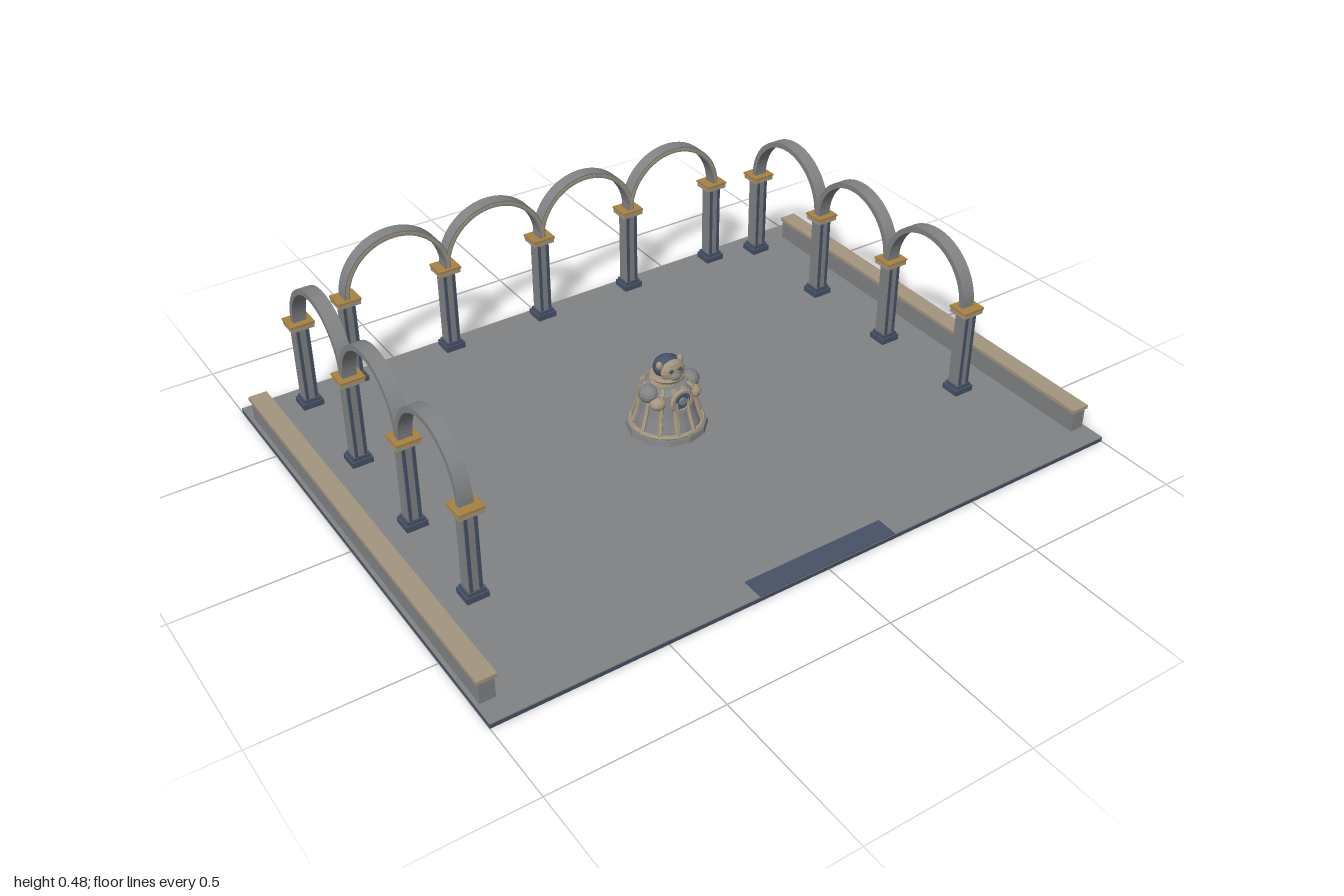
import * as THREE from 'three';

const mat = (name, color, side = THREE.FrontSide) => {
  const m = new THREE.MeshStandardMaterial({ color, side, flatShading: true });
  m.name = name;
  return m;
};

export function createModel() {
  const stone = mat('grey stone', 0x808284);
  const tan = mat('tan stone', 0xa3967e);
  const navy = mat('slate blue', 0x465266);
  const gold = mat('ochre', 0xa8823f);
  const blue = mat('blue', 0x3f5a80);

  const root = new THREE.Group();
  root.name = 'arcadeCourtyard';

  const add = (parent, name, geo, material, x = 0, y = 0, z = 0) => {
    const m = new THREE.Mesh(geo, material);
    m.name = name;
    m.position.set(x, y, z);
    parent.add(m);
    return m;
  };
  // box given by its size and the height of its underside
  const box = (parent, name, material, w, h, d, x, y, z) =>
    add(parent, name, new THREE.BoxGeometry(w, h, d), material, x, y + h / 2, z);

  // Floor slab
  box(root, 'slabEdge', navy, 2, 0.012, 1.514, 0, 0, 0);
  box(root, 'paving', stone, 2, 0.003, 1.514, 0, 0.012, 0);
  box(root, 'entranceStrip', navy, 0.445, 0.002, 0.067, 0, 0.015, 0.723);

  // Low side walls
  for (const s of [-1, 1]) {
    const wall = new THREE.Group();
    wall.name = s > 0 ? 'leftWall' : 'rightWall';
    box(wall, 'wallBody', stone, 0.044, 0.065, 1.376, s * 0.967, 0.015, 0);
    box(wall, 'wallCap', tan, 0.056, 0.011, 1.384, s * 0.967, 0.08, 0);
    root.add(wall);
  }

  // Pillar with base, shaft, narrow front strips and capital
  const pillar = (x, z) => {
    const g = new THREE.Group();
    g.name = 'pillar';
    g.position.set(x, 0, z);
    box(g, 'plinth', navy, 0.064, 0.018, 0.06, 0, 0.015, 0);
    box(g, 'baseMoulding', navy, 0.052, 0.01, 0.05, 0, 0.033, 0);
    box(g, 'shaft', stone, 0.042, 0.245, 0.04, 0, 0.043, 0);
    for (const s of [-1, 1])
      box(g, 'shaftStrip', navy, 0.009, 0.235, 0.004, s * 0.014, 0.045, 0.021);
    box(g, 'capital', tan, 0.07, 0.014, 0.062, 0, 0.286, 0);
    box(g, 'abacus', gold, 0.074, 0.006, 0.066, 0, 0.3, 0);
    root.add(g);
  };

  // Half-ring in the xy plane
  const halfRing = (inner, outer, depth) => {
    const s = new THREE.Shape();
    s.absarc(0, 0, outer, 0, Math.PI, false);
    s.absarc(0, 0, inner, Math.PI, 0, true);
    s.closePath();
    const geo = new THREE.ExtrudeGeometry(s, { depth, bevelEnabled: false, curveSegments: 16 });
    return geo.translate(0, 0, -depth / 2);
  };
  const archGeo = halfRing(0.157, 0.174, 0.042);
  const trimGeo = halfRing(0.162, 0.169, 0.004);
  const arch = (x, z, turn) => {
    const g = new THREE.Group();
    g.name = 'arch';
    g.position.set(x, 0.305, z);
    g.rotation.y = turn;
    add(g, 'archBand', archGeo, stone);
    if (!turn) add(g, 'archTrim', trimGeo, tan, 0, 0, 0.021);
    root.add(g);
  };

  // Back arcade
  const backX = [-0.656, -0.328, 0, 0.328, 0.656];
  backX.forEach((x, i) => {
    pillar(x, -0.712);
    if (i) arch(x - 0.164, -0.712, 0);
  });

  // Side arcades
  for (const x of [-0.82, 0.82])
    for (let i = 0; i < 4; i++) {
      const z = 0.342 - i * 0.338;
      pillar(x, z);
      if (i) arch(x, z + 0.169, Math.PI / 2);
    }

  // Central statue on a ribbed bell-shaped skirt
  const statue = new THREE.Group();
  statue.name = 'statue';
  root.add(statue);
  add(statue, 'statueBase', new THREE.CylinderGeometry(0.118, 0.121, 0.017, 12), stone, 0, 0.0235, 0);
  const skirt = [[0.106, 0.03], [0.1, 0.05], [0.088, 0.085], [0.08, 0.12], [0.073, 0.155], [0.058, 0.17], [0, 0.175]];
  const points = skirt.map(([r, y]) => new THREE.Vector2(r, y));
  add(statue, 'skirt', new THREE.LatheGeometry(points, 24), stone);
  const ribCurve = new THREE.CatmullRomCurve3(
    skirt.slice(0, 6).map(([r, y]) => new THREE.Vector3(r, y, 0)));
  const ribGeo = new THREE.TubeGeometry(ribCurve, 8, 0.008, 5);
  for (let i = 0; i < 12; i++)
    add(statue, 'skirtRib', ribGeo, tan).rotation.y = (i + 0.5) * Math.PI / 6;
  add(statue, 'hem', new THREE.TorusGeometry(0.106, 0.007, 6, 24).rotateX(Math.PI / 2), tan, 0, 0.036, 0);

  // Shoulders and arms
  const ball = new THREE.SphereGeometry(1, 12, 8);
  const blob = (name, material, x, y, z, sx, sy, sz) =>
    add(statue, name, ball, material, x, y, z).scale.set(sx, sy, sz);
  blob('torso', tan, 0, 0.165, 0, 0.058, 0.04, 0.045);
  for (const s of [-1, 1]) {
    blob('shoulder', stone, s * 0.07, 0.153, 0.012, 0.03, 0.027, 0.032);
    blob('hand', tan, s * 0.06, 0.132, 0.045, 0.026, 0.02, 0.024);
  }

  // Chest disc with a raised rim
  add(statue, 'chestRim', new THREE.TorusGeometry(0.032, 0.008, 6, 16), tan, 0, 0.138, 0.077);
  add(statue, 'chestDisc', new THREE.CylinderGeometry(0.03, 0.03, 0.008, 16).rotateX(Math.PI / 2), blue, 0, 0.138, 0.077);
  add(statue, 'chestBoss', new THREE.CylinderGeometry(0.012, 0.014, 0.012, 12).rotateX(Math.PI / 2), stone, 0, 0.138, 0.08);

  // Head with a carved face
  blob('head', navy, 0, 0.216, 0, 0.043, 0.035, 0.036);
  add(statue, 'collar', new THREE.TorusGeometry(0.042, 0.01, 6, 16).rotateX(Math.PI / 2), tan, 0, 0.189, 0);
  blob('face', tan, 0, 0.216, 0.03, 0.04, 0.034, 0.018);
  blob('muzzle', stone, 0, 0.204, 0.046, 0.018, 0.012, 0.012);
  for (const s of [-1, 1]) {
    blob('eye', navy, s * 0.015, 0.224, 0.046, 0.007, 0.006, 0.004);
    blob('ear', tan, s * 0.035, 0.235, 0.015, 0.01, 0.013, 0.01);
  }
  return root;
}
